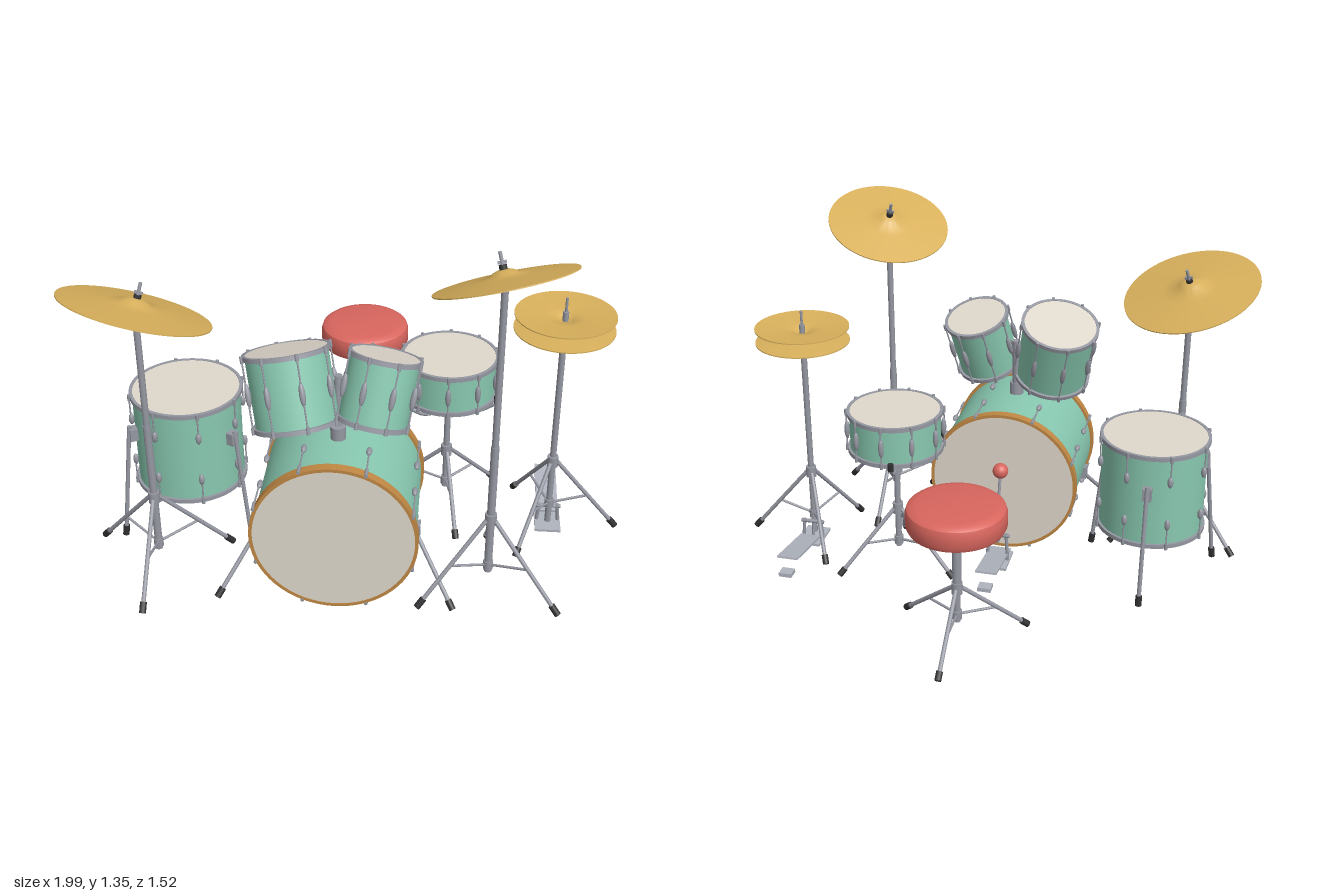
import * as THREE from 'three';
import { toCreasedNormals } from 'three/addons/utils/BufferGeometryUtils.js';

const mat = (name, color) => Object.assign(new THREE.MeshStandardMaterial({ color }), { name });
const M = {
  mint: mat('mint shell', 0x88c8b0), skin: mat('cream drum skin', 0xdfd8cc), wood: mat('wood hoop', 0xc08844),
  brass: mat('brass', 0xd8b05c), chrome: mat('chrome', 0x9698a2), plate: mat('pedal steel', 0xb0b4be),
  rubber: mat('black rubber', 0x303032), red: mat('red padding', 0xd8665e),
};
const V = (x, y, z) => new THREE.Vector3(x, y, z);
const UP = V(0, 1, 0);

function add(parent, name, geometry, material, x = 0, y = 0, z = 0) {
  const m = new THREE.Mesh(geometry, material);
  m.name = name;
  m.position.set(x, y, z);
  parent.add(m);
  return m;
}
function group(parent, name, x = 0, y = 0, z = 0) {
  const g = new THREE.Group();
  g.name = name;
  g.position.set(x, y, z);
  parent.add(g);
  return g;
}
function rod(parent, name, a, b, r, material = M.chrome, sides = 12) {
  const d = b.clone().sub(a);
  const m = add(parent, name, new THREE.CylinderGeometry(r, r, d.length(), sides), material);
  m.position.copy(a).addScaledVector(d, 0.5);
  m.quaternion.setFromUnitVectors(UP, d.normalize());
  return m;
}
const lathe = (pts, seg = 64) =>
  toCreasedNormals(new THREE.LatheGeometry(pts.map(p => new THREE.Vector2(p[0], p[1])), seg), 0.6);
const tube = (pts, r) => new THREE.TubeGeometry(new THREE.CatmullRomCurve3(pts), 20, r, 8);

// Drum along local y: shell, two skins, two hoops, lugs and tension rods
function drum(parent, name, R, H, o) {
  const g = group(parent, name);
  const { hoop = M.chrome, hoopH = 0.016, rows = [0], lugLen = 0.08, lugs = 8 } = o;
  const shell = R - 0.01, h = H / 2;
  add(g, 'shell', new THREE.CylinderGeometry(shell, shell, H - 0.01, 64, 1, true), M.mint);
  for (const s of [-1, 1]) {
    add(g, 'skin', new THREE.CylinderGeometry(R - 0.008, R - 0.008, 0.004, 64), M.skin, 0, s * (h - 0.004));
    add(g, 'hoop', lathe([[R - 0.012, 0], [R, 0], [R, hoopH], [R - 0.012, hoopH], [R - 0.012, 0]]), hoop,
      0, s > 0 ? h - hoopH : -h);
  }
  for (let i = 0; i < lugs; i++) {
    const a = (i + 0.5) / lugs * Math.PI * 2, c = Math.cos(a), n = Math.sin(a), q = R + 0.002;
    for (const y of rows) {
      const lug = add(g, 'lug', new THREE.SphereGeometry(1, 10, 8), M.chrome, c * R, y, n * R);
      lug.scale.set(0.011, lugLen / 2, 0.011);
    }
    for (const s of [-1, 1]) {
      const y0 = rows.length > 1 ? s * Math.abs(rows[0]) : 0;
      rod(g, 'tensionRod', V(c * q, y0, n * q), V(c * q, s * h, n * q), 0.003, M.chrome, 6);
      rod(g, 'tensionScrew', V(c * q, s * (h - hoopH - 0.006), n * q), V(c * q, s * (h + 0.003), n * q), 0.0065, M.chrome, 8);
    }
  }
  return g;
}

// Tripod base: three legs with rubber feet, braces and collars
function tripod(parent, x, z, hubY, R, deg) {
  const g = group(parent, 'tripod', x, 0, z);
  for (let i = 0; i < 3; i++) {
    const a = (deg + i * 120) * Math.PI / 180;
    const at = (r, y) => V(Math.cos(a) * r, y, Math.sin(a) * r);
    const top = at(0.018, hubY), foot = at(R, 0.012);
    rod(g, 'leg', top, foot, 0.008);
    rod(g, 'rubberFoot', top.clone().lerp(foot, 0.9), foot, 0.0125, M.rubber);
    rod(g, 'brace', at(0.012, 0.11), top.clone().lerp(foot, 0.52), 0.005, M.chrome, 8);
  }
  rod(g, 'upperCollar', V(0, hubY - 0.02, 0), V(0, hubY + 0.025, 0), 0.021);
  rod(g, 'lowerCollar', V(0, 0.09, 0), V(0, 0.125, 0), 0.018);
  return g;
}

function cymbalGeometry(R) {
  const top = [[1, 0], [0.7, 0.032], [0.4, 0.062], [0.2, 0.085], [0.15, 0.125], [0.08, 0.15], [0, 0.155]];
  const t = 0.004;
  const under = top.map(p => [p[0] * R, p[1] * R - t]).reverse();
  return lathe([...under, ...top.map(p => [p[0] * R, p[1] * R])]);
}

// Tilted cymbal on its own stand
function crash(parent, name, x, y, z, R, normal, deg) {
  const g = group(parent, name);
  rod(g, 'pole', V(x, 0.08, z), V(x, y - 0.02, z), 0.012);
  rod(g, 'lowerTube', V(x, 0.08, z), V(x, 0.62, z), 0.0145);
  tripod(g, x, z, 0.31, 0.29, deg);
  const head = group(g, 'cymbalHead', x, y, z);
  head.quaternion.setFromUnitVectors(UP, normal.normalize());
  add(head, 'cymbal', cymbalGeometry(R), M.brass);
  rod(head, 'cymbalRod', V(0, -0.03, 0), V(0, 0.095, 0), 0.006);
  rod(head, 'felt', V(0, 0.03, 0), V(0, 0.052, 0), 0.013, M.rubber);
  add(head, 'wingNut', new THREE.BoxGeometry(0.03, 0.01, 0.007), M.chrome, 0, 0.06, 0);
  rod(g, 'tiltJoint', V(x - 0.025, y - 0.015, z), V(x + 0.025, y - 0.015, z), 0.016);
}

// Foot pedal: base, posts, sloped board and heel plate
function pedal(parent, name, x, z, height, boardFront, boardBack, heelZ) {
  const g = group(parent, name, x, 0, 0);
  add(g, 'basePlate', new THREE.BoxGeometry(0.1, 0.01, 0.14), M.plate, 0, 0.006, z);
  for (const s of [-1, 1]) rod(g, 'post', V(s * 0.042, 0.005, z), V(s * 0.035, height, z), 0.007);
  rod(g, 'axle', V(-0.048, height - 0.008, z), V(0.048, height - 0.008, z), 0.008);
  const len = boardFront - boardBack;
  const board = add(g, 'footboard', new THREE.BoxGeometry(0.085, 0.008, len), M.plate, 0, 0.048, (boardFront + boardBack) / 2);
  board.rotation.x = Math.atan2(0.045, len);
  add(g, 'heelPlate', new THREE.BoxGeometry(0.052, 0.016, 0.045), M.plate, 0, 0.01, heelZ);
  return g;
}

export function createModel() {
  const kit = group(new THREE.Group(), 'drumKit');
  kit.removeFromParent();

  // Bass drum with spurs
  const bx = -0.055;
  const bass = drum(kit, 'bassDrum', 0.298, 0.465, { hoop: M.wood, hoopH: 0.035, rows: [-0.08, 0.08], lugLen: 0.045 });
  bass.position.set(bx, 0.303, 0.41);
  bass.rotation.x = Math.PI / 2;
  for (const s of [-1, 1]) {
    const a = V(bx + s * 0.275, 0.24, 0.47), b = V(bx + s * 0.425, 0.012, 0.635);
    rod(kit, 'spur', a, b, 0.008);
    rod(kit, 'spurFoot', a.clone().lerp(b, 0.88), b, 0.0125, M.rubber);
    add(kit, 'spurBracket', new THREE.BoxGeometry(0.03, 0.05, 0.04), M.chrome, bx + s * 0.283, 0.24, 0.47);
  }

  // Rack toms and their mount
  const toms = [[-1, 0.155, 0.27, -0.212, 0.793, 0.437], [1, 0.13, 0.245, 0.089, 0.805, 0.443]];
  for (const [s, R, H, x, y, z] of toms) {
    const tom = drum(kit, 'rackTom', R, H, { lugLen: 0.085 });
    tom.position.set(x, y, z);
    tom.quaternion.setFromUnitVectors(UP, V(s * 0.17, 0.94, -0.31).normalize());
    add(kit, 'tomArm', tube([V(bx, 0.8, 0.4), V(bx + s * 0.015, 0.82, 0.41), V(bx + s * 0.04, 0.78, 0.43)], 0.009), M.chrome);
  }
  rod(kit, 'tomPost', V(bx, 0.58, 0.425), V(bx, 0.83, 0.405), 0.015);
  rod(kit, 'tomPostFlange', V(bx, 0.59, 0.43), V(bx, 0.64, 0.43), 0.028);

  // Floor tom on three legs
  const floor = group(kit, 'floorTomGroup', -0.655, 0, 0.155);
  drum(floor, 'floorTom', 0.211, 0.385, { rows: [-0.09, 0.09], lugLen: 0.045 }).position.y = 0.412;
  for (let i = 0; i < 3; i++) {
    const a = (30 + i * 120) * Math.PI / 180;
    const at = (r, y) => V(Math.cos(a) * r, y, Math.sin(a) * r);
    rod(floor, 'floorTomLeg', at(0.228, 0.49), at(0.285, 0.012), 0.008);
    rod(floor, 'floorTomFoot', at(0.28, 0.05), at(0.286, 0.01), 0.0125, M.rubber);
    const p = at(0.216, 0.455);
    add(floor, 'legBracket', new THREE.BoxGeometry(0.03, 0.05, 0.035), M.chrome, p.x, p.y, p.z).rotation.y = -a;
  }

  // Snare drum on a basket stand
  const snare = group(kit, 'snareGroup', 0.323, 0, -0.03);
  drum(snare, 'snareDrum', 0.185, 0.165, { lugLen: 0.075, lugs: 10 }).position.y = 0.602;
  tripod(snare, 0, 0, 0.25, 0.26, 79);
  rod(snare, 'pole', V(0, 0.08, 0), V(0, 0.44, 0), 0.012);
  rod(snare, 'basketHub', V(0, 0.415, 0), V(0, 0.45, 0), 0.022);
  for (let i = 0; i < 3; i++) {
    const a = (19 + i * 120) * Math.PI / 180;
    const pts = [[0, 0.44], [0.06, 0.445], [0.12, 0.46], [0.17, 0.495], [0.194, 0.515], [0.194, 0.545]]
      .map(([r, y]) => V(Math.cos(a) * r, y, Math.sin(a) * r));
    add(snare, 'basketArm', tube(pts, 0.006), M.chrome);
    rod(snare, 'basketGrip', pts[4], pts[5], 0.011, M.rubber);
  }

  // Cymbals on stands
  crash(kit, 'crashCymbal', -0.73, 1.08, 0.455, 0.265, V(0.25, 1, -0.31), 90);
  crash(kit, 'rideCymbal', 0.492, 1.253, 0.487, 0.24, V(-0.26, 1, -0.35), 30);

  // Hi-hat: lower cymbal upright, upper one dished
  const hat = group(kit, 'hiHat', 0.73, 0, 0.09);
  tripod(hat, 0, 0, 0.3, 0.262, 0);
  rod(hat, 'pole', V(0, 0.02, 0), V(0, 0.86, 0), 0.012);
  rod(hat, 'hatSeat', V(0, 0.845, 0), V(0, 0.868, 0), 0.021);
  rod(hat, 'hatRod', V(0, 0.86, 0), V(0, 1.0, 0), 0.005);
  rod(hat, 'hatClutch', V(0, 0.9, 0), V(0, 0.945, 0), 0.011);
  add(hat, 'lowerCymbal', cymbalGeometry(0.183), M.brass, 0, 0.88, 0);
  add(hat, 'upperCymbal', cymbalGeometry(0.183), M.brass, 0, 0.932, 0).rotation.x = Math.PI;
  const hatPedal = pedal(kit, 'hiHatPedal', 0.73, 0.07, 0.085, 0.04, -0.22, -0.23);
  rod(hatPedal, 'pullRod', V(0, 0.01, 0.07), V(0, 0.1, 0.085), 0.006);

  // Bass pedal with beater
  const kick = pedal(kit, 'bassPedal', -0.06, 0.07, 0.13, 0.13, -0.14, -0.147);
  rod(kick, 'beaterRod', V(0, 0.1, 0.045), V(0, 0.39, 0.112), 0.006);
  add(kick, 'beater', new THREE.SphereGeometry(0.031, 24, 16), M.red, 0, 0.39, 0.112);
  add(kick, 'beaterHub', new THREE.BoxGeometry(0.022, 0.035, 0.035), M.chrome, 0, 0.12, 0.055);

  // Stool
  const stool = group(kit, 'stool', -0.037, 0, -0.488);
  tripod(stool, 0, 0, 0.22, 0.272, 30);
  rod(stool, 'pole', V(0, 0.08, 0), V(0, 0.45, 0), 0.013);
  rod(stool, 'outerTube', V(0, 0.2, 0), V(0, 0.45, 0), 0.017);
  add(stool, 'seatPan', new THREE.CylinderGeometry(0.135, 0.115, 0.018, 48), M.plate, 0, 0.459, 0);
  add(stool, 'seat', lathe([[0, 0.465], [0.155, 0.465], [0.172, 0.473], [0.18, 0.49], [0.18, 0.535],
    [0.175, 0.552], [0.162, 0.562], [0.14, 0.566], [0, 0.568]]), M.red);

  return kit;
}
